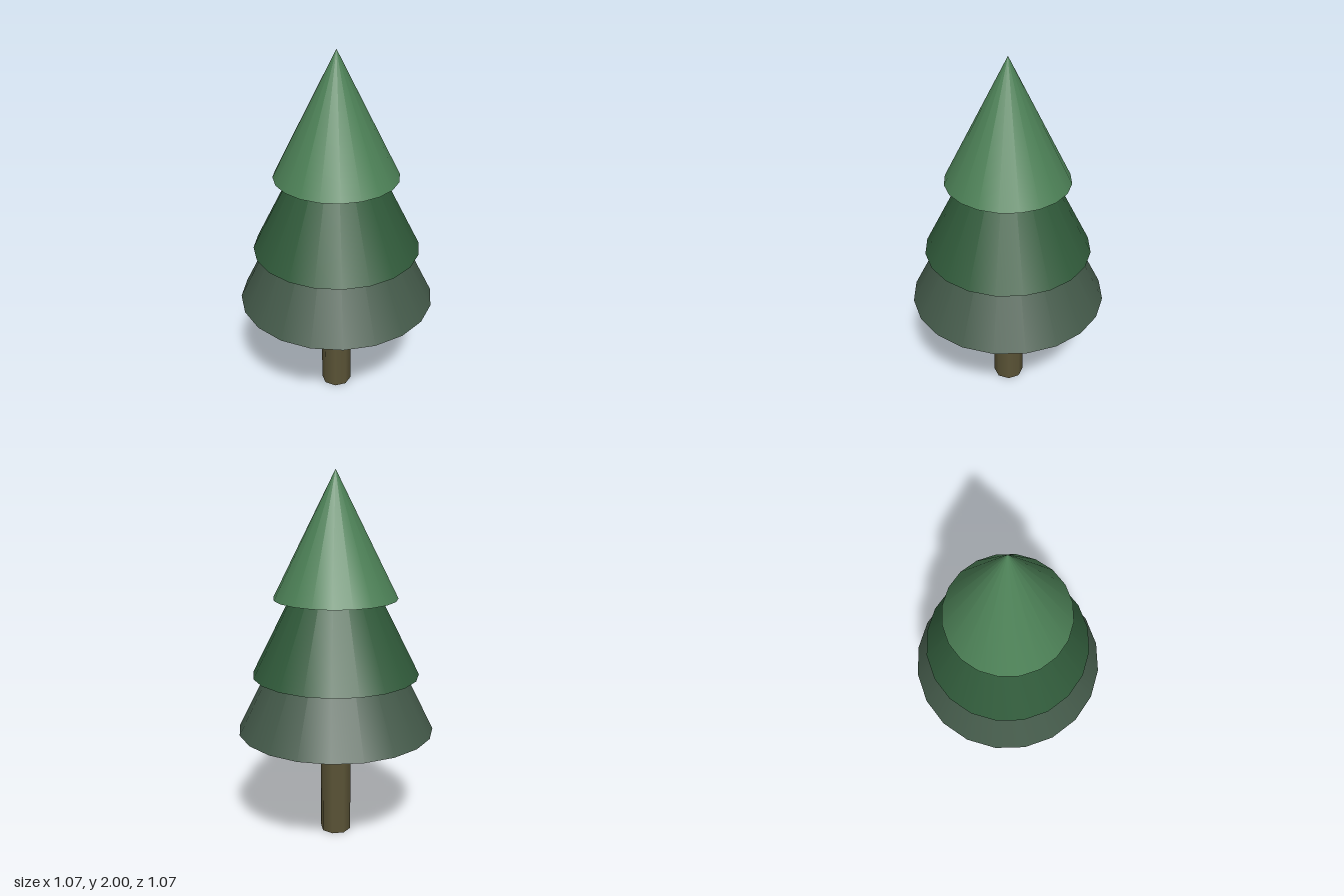
import * as THREE from 'three';

const material = (name, color) => {
  const m = new THREE.MeshStandardMaterial({ color });
  m.name = name;
  return m;
};

export function createModel() {
  const tree = new THREE.Group();
  tree.name = 'pineTree';

  const add = (name, geometry, mat, y) => {
    const mesh = new THREE.Mesh(geometry, mat);
    mesh.name = name;
    mesh.position.y = y;
    tree.add(mesh);
    return mesh;
  };

  // Eight-sided trunk, set slightly into the lowest tier
  const trunkHeight = 0.66;
  const trunk = add('trunk', new THREE.CylinderGeometry(0.085, 0.085, trunkHeight, 8),
    material('barkBrown', 0x5a5336), trunkHeight / 2);
  trunk.position.x = -0.003;
  trunk.position.z = -0.002;

  // Three overlapping closed cones: name, material, radius, base, apex
  const tiers = [
    ['lowerFoliage', material('greyGreen', 0x445a4a), 0.535, 0.61, 1.68],
    ['middleFoliage', material('darkGreen', 0x305a3a), 0.452, 0.92, 1.82],
    ['upperFoliage', material('lightGreen', 0x4c8056), 0.333, 1.335, 2],
  ];
  for (const [name, mat, radius, base, apex] of tiers) {
    add(name, new THREE.ConeGeometry(radius, apex - base, 20), mat, (base + apex) / 2);
  }

  return tree;
}
